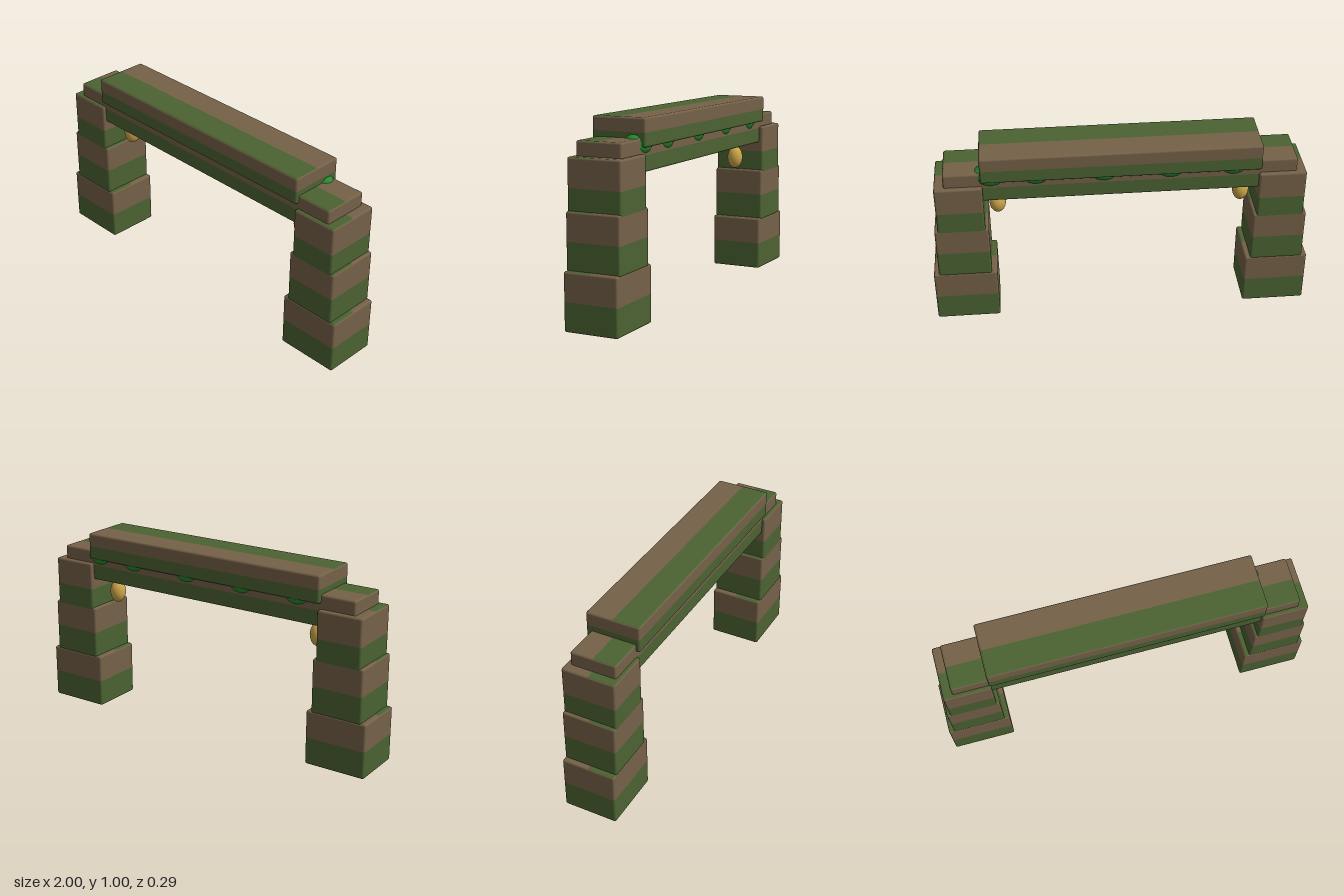
import * as THREE from 'three';

const material = (name, color) => {
  const m = new THREE.MeshStandardMaterial({ color });
  m.name = name;
  return m;
};

// Box with rounded edges; the upper (or rear) half of every face takes
// material 0 and the lower (or front) half takes material 1.
function stoneGeometry(w, h, d, r = 0.011) {
  const geo = new THREE.BoxGeometry(1, 1, 1, 6, 6, 6);
  const pos = geo.attributes.position, nor = geo.attributes.normal;
  const half = [w / 2, h / 2, d / 2];
  const spread = (t, s) => {
    const i = Math.round(Math.abs(t) * 6);
    return Math.sign(t) * [0, s - r, s - r * 0.45, s][i];
  };
  const p = new THREE.Vector3(), n = new THREE.Vector3();
  const inner = new THREE.Vector3(half[0] - r, half[1] - r, half[2] - r);
  const low = inner.clone().negate();
  for (let i = 0; i < pos.count; i++) {
    p.set(spread(pos.getX(i), half[0]), spread(pos.getY(i), half[1]), spread(pos.getZ(i), half[2]));
    n.copy(p);
    p.clamp(low, inner);
    n.sub(p).normalize();
    p.addScaledVector(n, r);
    pos.setXYZ(i, p.x, p.y, p.z);
    nor.setXYZ(i, n.x, n.y, n.z);
  }
  geo.clearGroups();
  for (let face = 0; face < 6; face++) {
    geo.addGroup(face * 216, 108, 0);
    geo.addGroup(face * 216 + 108, 108, 1);
  }
  return geo;
}

export function createModel() {
  const group = new THREE.Group();
  group.name = 'mossyArch';
  const stone = material('brownStone', 0x756148);
  const moss = material('mossGreen', 0x4b6232);
  const leaf = material('leafGreen', 0x268a2c);
  const gold = material('lanternGold', 0xcda74a);

  const add = (name, geo, mat, x, y, z) => {
    const mesh = new THREE.Mesh(geo, mat);
    mesh.name = name;
    mesh.position.set(x, y, z);
    group.add(mesh);
    return mesh;
  };
  const block = (name, w, d, y0, y1, x = 0, z = 0) =>
    add(name, stoneGeometry(w, y1 - y0, d), [stone, moss], x, (y0 + y1) / 2, z);

  // Stacked pillars and hanging lanterns, mirrored
  for (const [side, s] of [['left', 1], ['right', -1]]) {
    const x = 0.831 * s;
    block(side + 'PillarBase', 0.335, 0.29, 0, 0.293, x);
    block(side + 'PillarMiddle', 0.28, 0.289, 0.285, 0.574, x);
    block(side + 'PillarTop', 0.246, 0.288, 0.535, 0.827, x);
    add(side + 'Lantern', new THREE.SphereGeometry(1, 24, 16), gold, 0.64 * s, 0.65, 0)
      .scale.set(0.043, 0.063, 0.043);
  }

  // Lintel and capstone
  block('lintel', 1.81, 0.245, 0.735, 0.9, 0, 0.002);
  block('capstone', 1.434, 0.29, 0.857, 1);

  // Leaf clumps tucked behind the capstone
  for (const x of [0.665, 0.435, 0.09, -0.25, -0.575]) {
    add('leafClump', new THREE.SphereGeometry(1, 24, 16), leaf, x, 0.87, -0.078)
      .scale.set(0.09, 0.06, 0.06);
  }
  return group;
}
